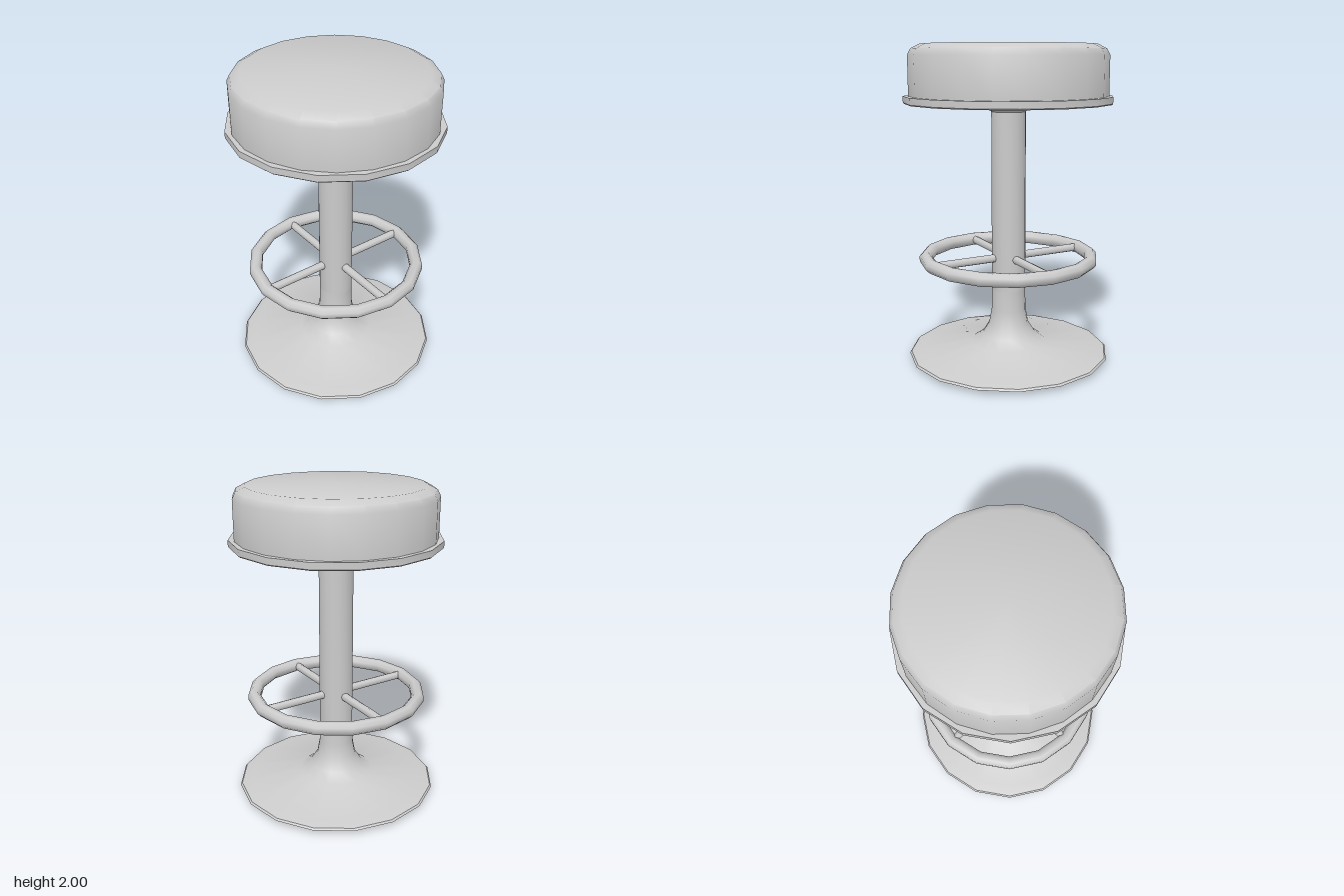
import * as THREE from 'three';
import { toCreasedNormals } from 'three/addons/utils/BufferGeometryUtils.js';

export function createModel() {
  const stool = new THREE.Group();
  stool.name = 'barStool';
  const material = new THREE.MeshStandardMaterial({ color: 0xcccccc });

  function add(name, geometry) {
    const mesh = new THREE.Mesh(geometry, material);
    mesh.name = name;
    stool.add(mesh);
    return mesh;
  }

  // Turned part from [radius, height] pairs, listed from the bottom up
  function turned(name, profile, sides) {
    const points = profile.map(([r, y]) => new THREE.Vector2(r, y));
    return add(name, toCreasedNormals(new THREE.LatheGeometry(points, sides), 0.65));
  }

  // Trumpet-shaped foot running up into the column
  turned('base', [
    [0, 0], [0.61, 0.015], [0.645, 0.028], [0.635, 0.04], [0.57, 0.055],
    [0.24, 0.1], [0.17, 0.15], [0.127, 0.22], [0.11, 0.315], [0.108, 0.45],
  ], 16);
  turned('column', [[0.108, 0.44], [0.108, 1.62]], 16);

  // Seat support
  turned('collar', [[0, 1.585], [0.105, 1.585], [0.142, 1.618], [0.142, 1.64]], 16);
  turned('seatPlate', [[0, 1.618], [0.64, 1.638], [0.648, 1.645], [0.648, 1.685], [0, 1.685]], 16);
  turned('cushion', [
    [0, 1.68], [0.615, 1.68], [0.615, 1.93], [0.596, 1.968], [0.54, 1.997], [0, 2],
  ], 20);

  // Foot ring with an eight-sided section
  const ringRadius = 0.53, ringHeight = 0.66, tube = 0.042;
  const section = [];
  for (let i = 0; i <= 8; i++) {
    const a = (i + 0.5) * Math.PI / 4;
    section.push([ringRadius + tube * Math.cos(a), ringHeight + tube * Math.sin(a)]);
  }
  const ringPoints = section.map(([r, y]) => new THREE.Vector2(r, y));
  add('footRing', toCreasedNormals(new THREE.LatheGeometry(ringPoints, 16), 0.9));

  // Four spokes from the column to the ring
  const inner = 0.08;
  for (let i = 0; i < 4; i++) {
    const geometry = new THREE.CylinderGeometry(0.026, 0.026, ringRadius - inner, 8);
    geometry.rotateZ(Math.PI / 2);
    geometry.translate((ringRadius + inner) / 2, ringHeight, 0);
    add('spoke' + (i + 1), geometry).rotation.y = i * Math.PI / 2;
  }

  return stool;
}
